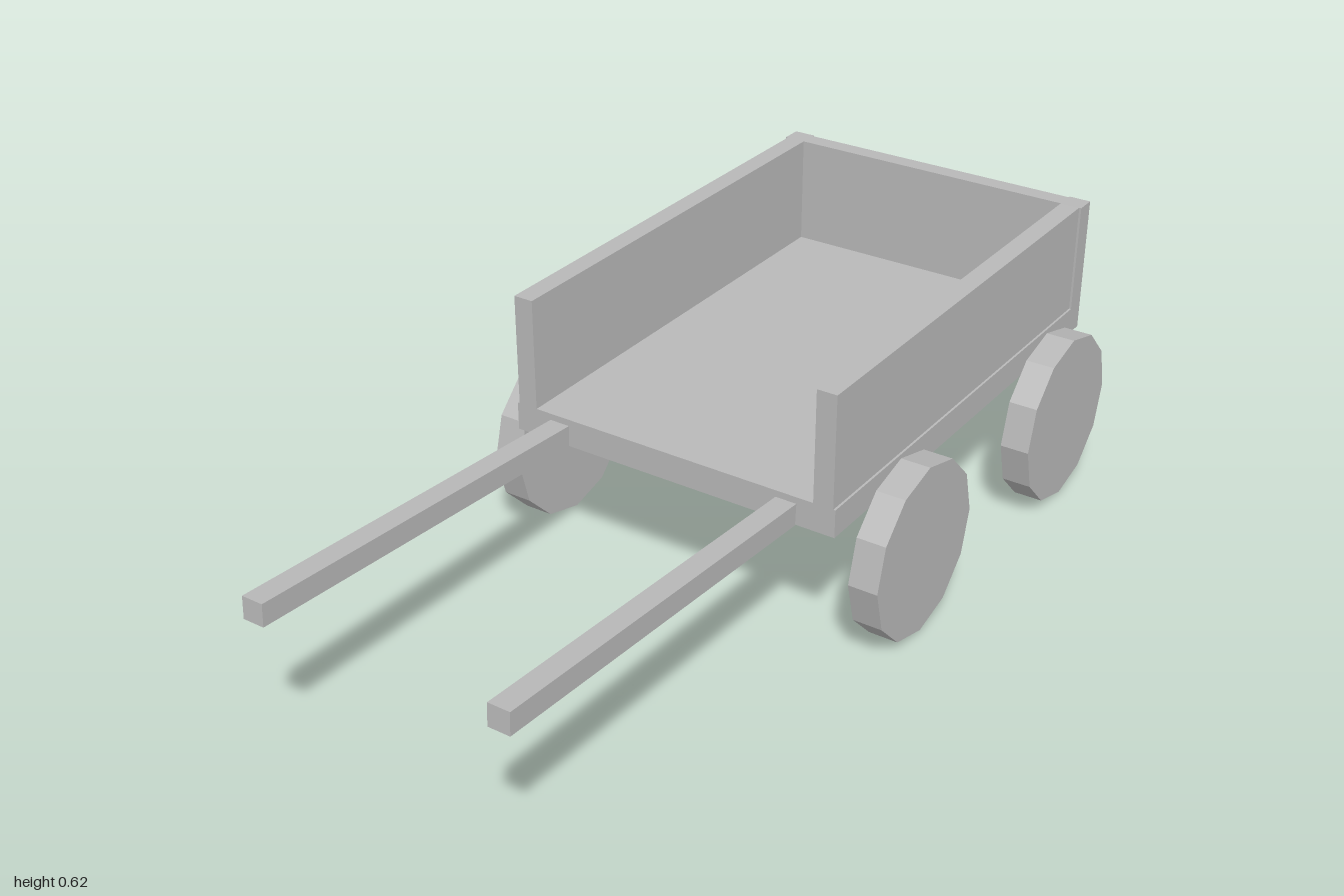
import * as THREE from 'three';

export function createModel() {
  const cart = new THREE.Group();
  cart.name = 'cart';
  const grey = new THREE.MeshStandardMaterial({ color: 0xb8b8b8 });
  grey.name = 'plainGrey';

  const add = (name, geometry, x, y, z) => {
    const mesh = new THREE.Mesh(geometry, grey);
    mesh.name = name;
    mesh.position.set(x, y, z);
    cart.add(mesh);
    return mesh;
  };
  // Box given by its lower and upper corner
  const box = (name, [x0, y0, z0], [x1, y1, z1]) =>
    add(name, new THREE.BoxGeometry(x1 - x0, y1 - y0, z1 - z0),
      (x0 + x1) / 2, (y0 + y1) / 2, (z0 + z1) / 2);

  const floorY = 0.372, topY = 0.622, back = -1, front = 0.108;
  const half = 0.388, inner = 0.338, inset = 0.005, postZ = -0.953;

  // Bed: floor slab and tailboard, open at the front
  box('floor', [-half, 0.309, back], [half, floorY, front]);
  box('backBoard', [-inner, floorY, back + inset], [inner, topY, postZ]);

  // Wheels: twelve-sided discs with a corner at the top and bottom
  const wheel = new THREE.CylinderGeometry(0.195, 0.195, 0.066, 12).toNonIndexed();
  wheel.rotateZ(Math.PI / 2);
  wheel.computeVertexNormals();

  // Shafts rise gently towards the front
  const rise = 0.056, run = 0.888;
  const shaft = new THREE.BoxGeometry(0.048, 0.048, Math.hypot(rise, run));

  for (const [side, s] of [['left', 1], ['right', -1]]) {
    const outer = half - inset;
    const wall = (name, w, z0, z1) => {
      const a = s * inner, b = s * w;
      box(name, [Math.min(a, b), floorY, z0], [Math.max(a, b), topY, z1]);
    };
    wall(side + 'SideBoard', outer, postZ, front);
    wall(side + 'CornerPost', half, back, postZ);

    add(side + 'FrontWheel', wheel, s * 0.443, 0.195, -0.11);
    add(side + 'BackWheel', wheel, s * 0.443, 0.195, -0.776);

    add(side + 'Shaft', shaft, s * 0.277, 0.362, 0.5545).rotation.x = -Math.atan2(rise, run);
  }
  return cart;
}
